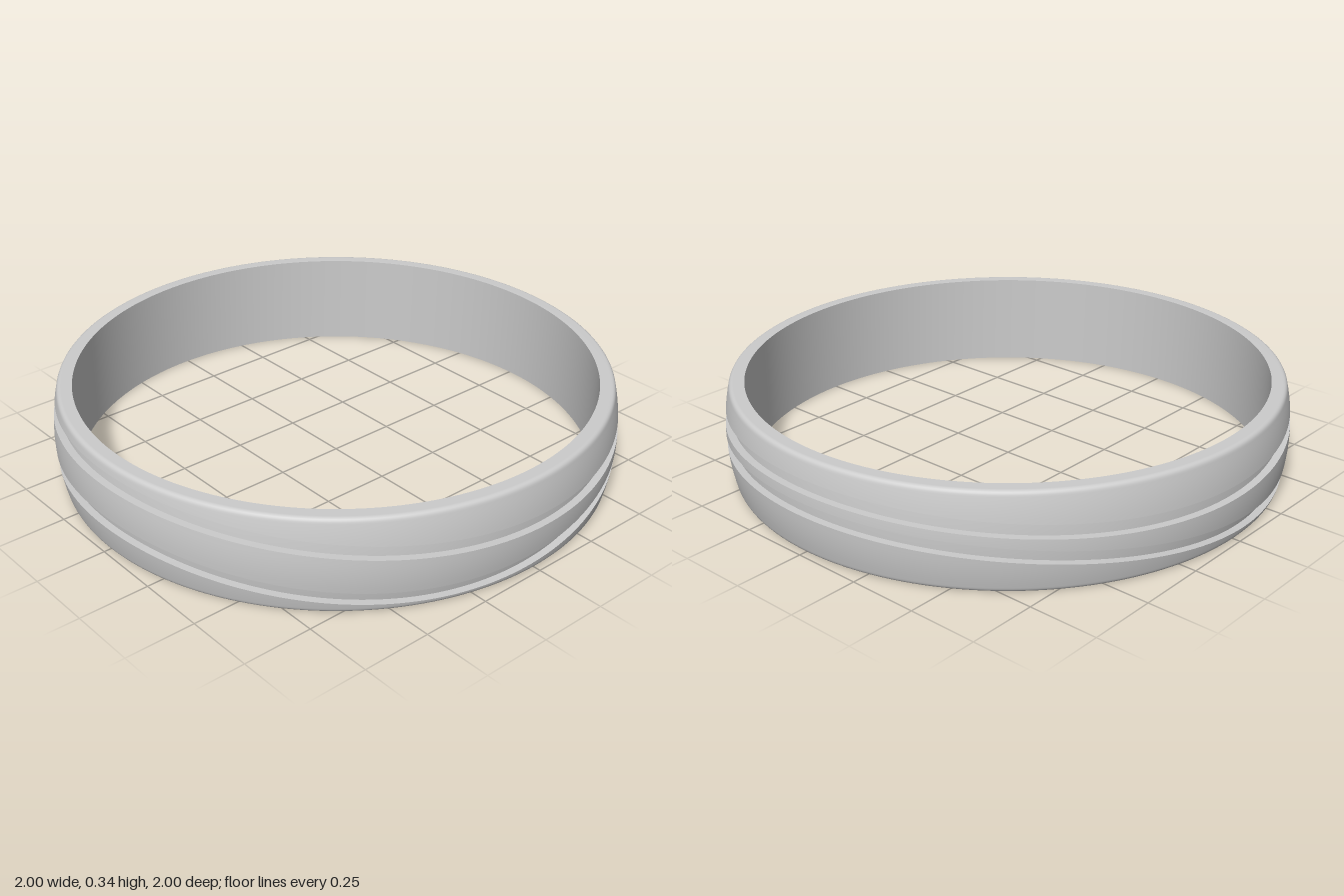
import * as THREE from 'three';

const SEGMENTS = 240;
const HEIGHT = 0.345, INNER = 0.925, FILLET = 0.018, DEPTH = 0.026, HALF_GROOVE = 0.024;

// Gently domed outer face
const dome = (y) => 1 - 0.02 * ((y - HEIGHT / 2) / 0.16) ** 2;

// Centre heights of the two wavy grooves, a = 0 at the front
const upperWave = (a) => 0.232 + 0.0185 * Math.cos(a) + 0.037 * Math.cos(2 * a);
const lowerWave = (a) =>
  0.102 - 0.0335 * Math.cos(a) + 0.047 * Math.cos(2 * a) + 0.012 * Math.cos(3 * a);

// Points up the outer face between two heights, optionally sunk inward
function face(y0, y1, sink = 0, steps = 6) {
  return Array.from({ length: steps + 1 }, (_, i) => {
    const y = y0 + ((y1 - y0) * i) / steps;
    return [dome(y) - sink, y];
  });
}

// Flat rim and rounded corner, from the bore out to the dome at the bottom
function rim() {
  const r = dome(FILLET), points = [[INNER, 0]];
  for (let i = 0; i < 6; i++) {
    const t = i / 6, s = 1 - t;
    points.push([
      s * s * (r - 0.019) + 2 * s * t * (r - 0.003) + t * t * r,
      t * t * FILLET,
    ]);
  }
  return points;
}

// Closed band swept round the ring; section(a) lists [radius, y] with the outside on its right
function band(name, section, material) {
  const count = section(0).length, positions = [], index = [];
  for (let i = 0; i < SEGMENTS; i++) {
    const a = (i / SEGMENTS) * Math.PI * 2;
    for (const [r, y] of section(a)) positions.push(r * Math.sin(a), y, r * Math.cos(a));
    const p = i * count, q = ((i + 1) % SEGMENTS) * count;
    for (let k = 0; k < count - 1; k++) {
      index.push(p + k, q + k, q + k + 1, p + k, q + k + 1, p + k + 1);
    }
  }
  const geometry = new THREE.BufferGeometry();
  geometry.setAttribute('position', new THREE.Float32BufferAttribute(positions, 3));
  geometry.setIndex(index);
  geometry.computeVertexNormals();
  const mesh = new THREE.Mesh(geometry, material);
  mesh.name = name;
  return mesh;
}

export function createModel() {
  const ring = new THREE.Group();
  ring.name = 'ring';
  const material = new THREE.MeshStandardMaterial({ color: 0xcccccc });
  const add = (name, section) => ring.add(band(name, section, material));

  // Bore
  add('innerWall', () => [[INNER, HEIGHT], [INNER, 0]]);

  // Three raised bands of the outer face
  add('lowerBand', (a) => [...rim(), ...face(FILLET, lowerWave(a) - HALF_GROOVE)]);
  add('middleBand', (a) => face(lowerWave(a) + HALF_GROOVE, upperWave(a) - HALF_GROOVE));
  add('upperBand', (a) => [
    ...face(upperWave(a) + HALF_GROOVE, HEIGHT - FILLET),
    ...rim().reverse().map(([r, y]) => [r, HEIGHT - y]),
  ]);

  // Grooves: two square walls and a floor each
  for (const [name, wave] of [['lowerGroove', lowerWave], ['upperGroove', upperWave]]) {
    const groove = new THREE.Group();
    groove.name = name;
    const low = (a) => wave(a) - HALF_GROOVE, high = (a) => wave(a) + HALF_GROOVE;
    groove.add(
      band(name + 'Ledge', (a) => [[dome(low(a)), low(a)], [dome(low(a)) - DEPTH, low(a)]], material),
      band(name + 'Floor', (a) => face(low(a), high(a), DEPTH, 2), material),
      band(name + 'Roof', (a) => [[dome(high(a)) - DEPTH, high(a)], [dome(high(a)), high(a)]], material),
    );
    ring.add(groove);
  }
  return ring;
}
